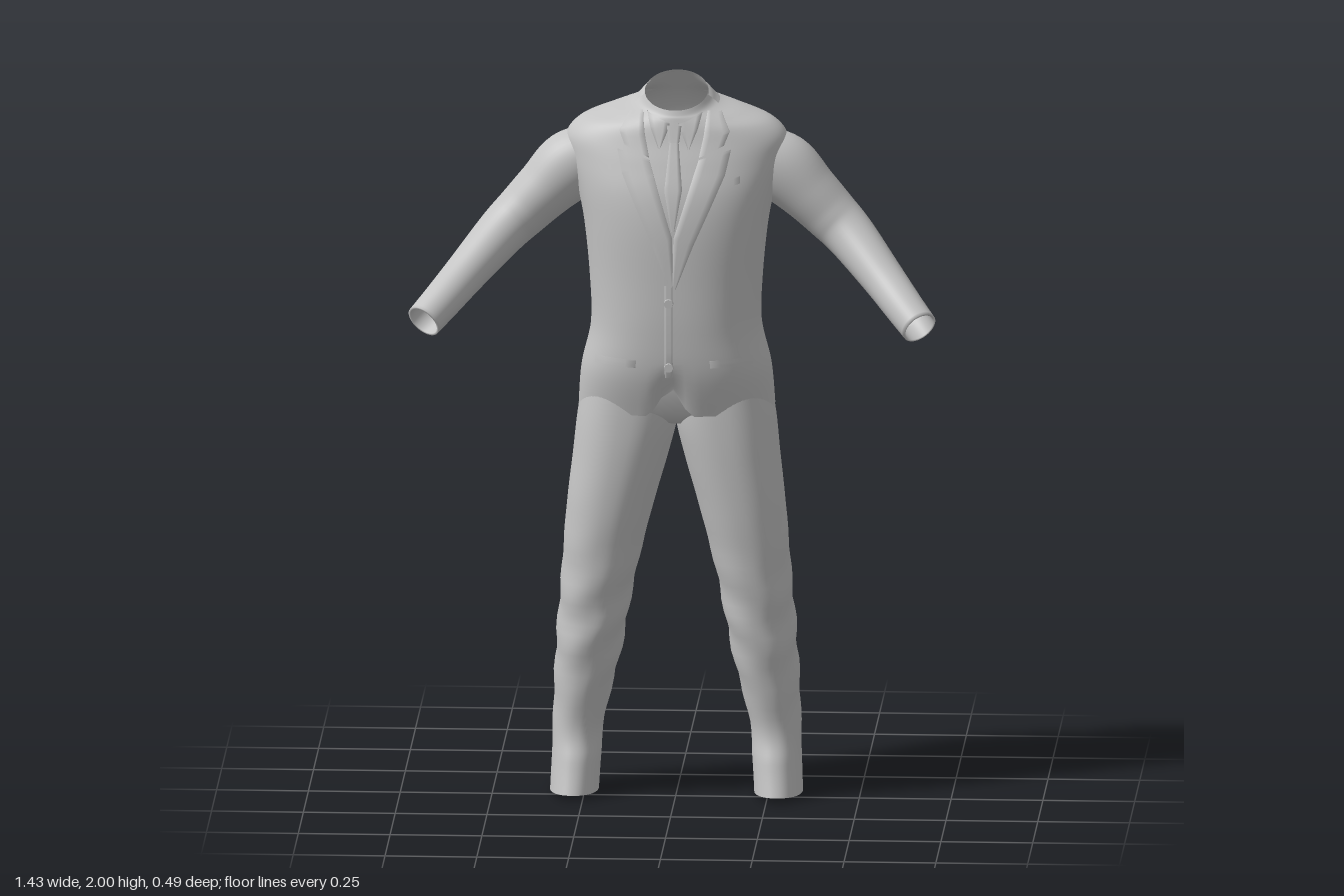
import * as THREE from 'three';

const cloth = new THREE.MeshStandardMaterial({ color: 0xc4c4c4, side: THREE.DoubleSide });
cloth.name = 'grey cloth';

// Smoothly resample rows of numbers, n steps per gap
function resample(rows, n) {
  const out = [], last = rows.length - 1;
  for (let k = 0; k <= last * n; k++) {
    const i = Math.min(Math.floor(k / n), last - 1), t = k / n - i;
    const [a, b, c, d] = [i - 1, i, i + 1, i + 2].map(j => rows[THREE.MathUtils.clamp(j, 0, last)]);
    out.push(b.map((_, m) => b[m] + 0.5 * t * (c[m] - a[m] + t * (2 * a[m] - 5 * b[m] + 4 * c[m] - d[m]
      + t * (3 * (b[m] - c[m]) + d[m] - a[m])))));
  }
  return out;
}

// Grid of points to a mesh; closed joins the last column to the first
function skin(name, rings, closed = true) {
  const n = rings[0].length, index = [];
  for (let i = 0; i < rings.length - 1; i++) {
    for (let j = 0; j < (closed ? n : n - 1); j++) {
      const k = (j + 1) % n, a = i * n + j, b = i * n + k, c = a + n, d = b + n;
      index.push(a, b, d, a, d, c);
    }
  }
  const g = new THREE.BufferGeometry().setFromPoints(rings.flat());
  g.setIndex(index);
  g.computeVertexNormals();
  const mesh = new THREE.Mesh(g, cloth);
  mesh.name = name;
  return mesh;
}

// Horizontal squarish oval: front height, back height, centre x, half width, front z, back z, exponent
function oval([yf, yb, cx, rx, zf, zb, p], n = 96) {
  const pts = [], zc = (zf + zb) / 2, h = (zf - zb) / 2;
  const pow = v => Math.sign(v) * Math.abs(v) ** (2 / p);
  for (let j = 0; j < n; j++) {
    const a = j / n * Math.PI * 2, w = pow(Math.cos(a));
    pts.push(new THREE.Vector3(cx + rx * pow(Math.sin(a)), yb + (yf - yb) * (w + 1) / 2, zc + h * w));
  }
  return pts;
}

const mirrorRings = rings => rings.map(r => r.map(p => new THREE.Vector3(-p.x, p.y, p.z)).reverse());

// Jacket body, hem to neck, with a cutaway at the front hem
function makeJacket() {
  const rows = [
    [1.085, 1.085, 0, .267, .108, -.242, 2.6],
    [1.20, 1.20, 0, .258, .138, -.232, 2.6],
    [1.32, 1.32, 0, .232, .146, -.222, 2.5],
    [1.45, 1.45, 0, .235, .145, -.216, 2.4],
    [1.60, 1.60, 0, .25, .14, -.216, 2.4],
    [1.70, 1.70, 0, .27, .125, -.222, 2.4],
    [1.78, 1.78, 0, .293, .098, -.224, 2.3],
    [1.835, 1.84, 0, .30, .076, -.216, 2.2],
    [1.872, 1.89, 0, .262, .064, -.2, 2.1],
    [1.892, 1.925, 0, .19, .058, -.182, 2],
    [1.905, 1.95, 0, .125, .054, -.163, 2],
    [1.912, 1.97, 0, .1, .05, -.148, 2],
    [1.925, 2.0, 0, .086, .045, -.125, 2],
  ];
  const rings = resample(rows, 6).map(r => oval(r));
  rings.flat().forEach(p => {
    if (p.z > 0 && p.y < 1.24) {
      const lift = Math.max(0, 1 - Math.abs(p.x + .01) / .055) * .09;
      p.y += lift * (1 - (p.y - 1.085) / .155);
    }
    // Spine hollow and soft folds on the back
    if (p.z < -.1) {
      const mid = Math.exp(-((p.y - 1.55) ** 2) / .03);
      p.z += mid * (.016 * Math.exp(-(p.x * p.x) / .002) + .004 * Math.sin(p.y * 38 + Math.abs(p.x) * 25));
    }
  });
  return skin('jacketBody', rings);
}

// Sleeve: centre x, y, z, radius across, radius front to back
function sleeveRings(rows) {
  const path = resample(rows, 6), up = new THREE.Vector3(.7, .7, 0);
  const at = i => new THREE.Vector3(...path[THREE.MathUtils.clamp(i, 0, path.length - 1)]);
  const rings = path.map((r, i) => {
    const T = at(i + 1).sub(at(i - 1)).normalize();
    const u = up.clone().addScaledVector(T, -up.dot(T)).normalize(), v = T.clone().cross(u);
    return Array.from({ length: 40 }, (_, j) => {
      const a = j / 40 * Math.PI * 2;
      return at(i).addScaledVector(u, Math.cos(a) * r[3]).addScaledVector(v, Math.sin(a) * r[4]);
    });
  });
  // Turned-in cuff
  const end = at(path.length - 1), back = at(path.length - 5).sub(end);
  const inner = rings.at(-1).map(p => p.clone().lerp(end, .13));
  rings.push(inner, inner.map(p => p.clone().add(back)));
  return rings;
}

export function createModel() {
  const group = new THREE.Group();
  const jacket = makeJacket();
  group.add(jacket);

  // Depth of the jacket surface below a point seen from the front or back
  const ray = new THREE.Raycaster();
  const depth = (x, y, s = 1) => {
    ray.set(new THREE.Vector3(x, y, s), new THREE.Vector3(0, 0, -s));
    const hit = ray.intersectObject(jacket)[0];
    return hit ? hit.point.z : 0;
  };

  // Raised cloth between two edges (top to bottom) following the jacket
  const patch = (name, left, right, off, s = 1) => {
    const L = [], R = [], n = 7;
    for (let i = 0; i < left.length - 1; i++) {
      for (let k = i ? 1 : 0; k <= n; k++) {
        const mix = e => [0, 1].map(m => e[i][m] + (e[i + 1][m] - e[i][m]) * k / n);
        L.push(mix(left)); R.push(mix(right));
      }
    }
    const us = [0, 0, .25, .5, .75, 1, 1];
    const rings = L.map((l, i) => us.map((u, j) => {
      const x = l[0] + (R[i][0] - l[0]) * u, y = l[1] + (R[i][1] - l[1]) * u;
      return new THREE.Vector3(x, y, depth(x, y, s) + s * (j === 0 || j === 6 ? -.004 : off));
    }));
    group.add(skin(name, s > 0 ? rings.reverse() : rings, false));
  };
  const flip = e => e.map(([x, y]) => [-x, y]);
  const pair = (name, inner, outer, off) => {
    patch(name, inner, outer, off);
    patch(name, flip(outer), flip(inner), off);
  };

  // Lapels, jacket collar and shirt collar wings
  pair('lapel', [[.068, 1.8], [.055, 1.76], [.03, 1.68], [.002, 1.59], [.0, 1.46]],
    [[.155, 1.825], [.14, 1.76], [.1, 1.67], [.055, 1.57], [.008, 1.45]], .009);
  pair('jacketCollar', [[.088, 1.92], [.08, 1.86], [.068, 1.805]], [[.125, 1.915], [.15, 1.87], [.135, 1.835]], .009);
  pair('shirtCollar', [[.012, 1.895], [.02, 1.87], [.038, 1.828]], [[.075, 1.92], [.064, 1.88], [.042, 1.828]], .012);

  // Tie
  patch('tieKnot', [[-.02, 1.89], [-.014, 1.845]], [[.02, 1.89], [.014, 1.845]], .016);
  patch('tieBlade', [[-.012, 1.845], [-.024, 1.72], [-.004, 1.61]], [[.012, 1.845], [.024, 1.72], [.004, 1.61]], .007);

  // Front overlap, pocket flaps, breast pocket and back vent
  patch('frontOverlap', [[-.022, 1.46], [-.022, 1.2]], [[.0, 1.46], [.0, 1.2]], .004);
  pair('pocketFlap', [[.1, 1.25], [.102, 1.228]], [[.215, 1.252], [.215, 1.23]], .008);
  patch('breastPocket', [[.11, 1.735], [.112, 1.715]], [[.18, 1.755], [.18, 1.735]], .005);
  patch('backVent', [[.012, 1.27], [.014, 1.092]], [[-.012, 1.27], [-.03, 1.092]], .01, -1);

  // Front buttons
  for (const y of [1.41, 1.23]) {
    const button = new THREE.Mesh(new THREE.CylinderGeometry(.012, .013, .01, 20), cloth);
    button.name = 'frontButton';
    button.rotation.x = Math.PI / 2;
    button.position.set(-.011, y, depth(-.011, y) + .006);
    group.add(button);
  }

  // Standing collar band round the back of the neck
  const band = resample([
    [1.885, 1.935, 0, .142, .06, -.18, 2], [1.905, 1.965, 0, .112, .056, -.163, 2],
    [1.915, 1.985, 0, .098, .05, -.142, 2], [1.922, 1.994, 0, .088, .046, -.128, 2]], 3);
  group.add(skin('neckBand', band.map(r => oval(r).slice(22, 75)), false));

  // Sleeves with cuff buttons
  const arm = sleeveRings([
    [.20, 1.79, -.075, .075, .08], [.285, 1.745, -.072, .095, .088], [.36, 1.675, -.07, .082, .085],
    [.42, 1.615, -.064, .074, .08], [.475, 1.563, -.035, .068, .072], [.565, 1.472, .06, .058, .062],
    [.63, 1.408, .145, .053, .055], [.675, 1.365, .202, .05, .05]]);
  group.add(skin('leftSleeve', arm), skin('rightSleeve', mirrorRings(arm)));
  for (const s of [-1, 1]) {
    for (let i = 0; i < 3; i++) {
      const button = new THREE.Mesh(new THREE.SphereGeometry(.009, 12, 8), cloth);
      button.name = 'cuffButton';
      button.position.set(s * (.654 + i * .015), 1.425 - i * .014, .088 + i * .019);
      group.add(button);
    }
  }

  // Trouser legs, hem to waist
  const leg = resample([
    [.015, 0, .278, .066, .082, -.176, 2.2],
    [.10, .10, .273, .067, .055, -.178, 2.2],
    [.20, .20, .268, .07, .032, -.18, 2.2],
    [.40, .40, .24, .089, .063, -.185, 2.2],
    [.60, .60, .214, .1, .085, -.176, 2.2],
    [.80, .80, .182, .117, .1, -.17, 2.2],
    [.95, .95, .152, .13, .104, -.2, 2.3],
    [1.06, 1.06, .133, .137, .102, -.218, 2.4],
    [1.18, 1.18, .12, .13, .095, -.205, 2.4]], 7).map(r => oval(r, 64));
  leg.flat().forEach(p => {
    // Soft folds round knee and shin, and a pressed front crease
    const w = Math.exp(-((p.y - .45) ** 2) / .05);
    p.x += w * .004 * Math.sin(p.y * 45 + p.z * 20);
    p.z -= w * .003 * Math.sin(p.y * 40 + p.x * 25);
  });
  group.add(skin('leftTrouserLeg', leg), skin('rightTrouserLeg', mirrorRings(leg)));

  // Trouser seat joining the legs
  const seat = [
    [1.045, 1.045, 0, .004, -.05, -.06, 2], [1.05, 1.05, 0, .1, .04, -.15, 2],
    [1.09, 1.09, 0, .24, .09, -.21, 2.6], [1.18, 1.18, 0, .24, .098, -.21, 2.6]];
  group.add(skin('trouserSeat', seat.map(r => oval(r, 64))));

  return group;
}
